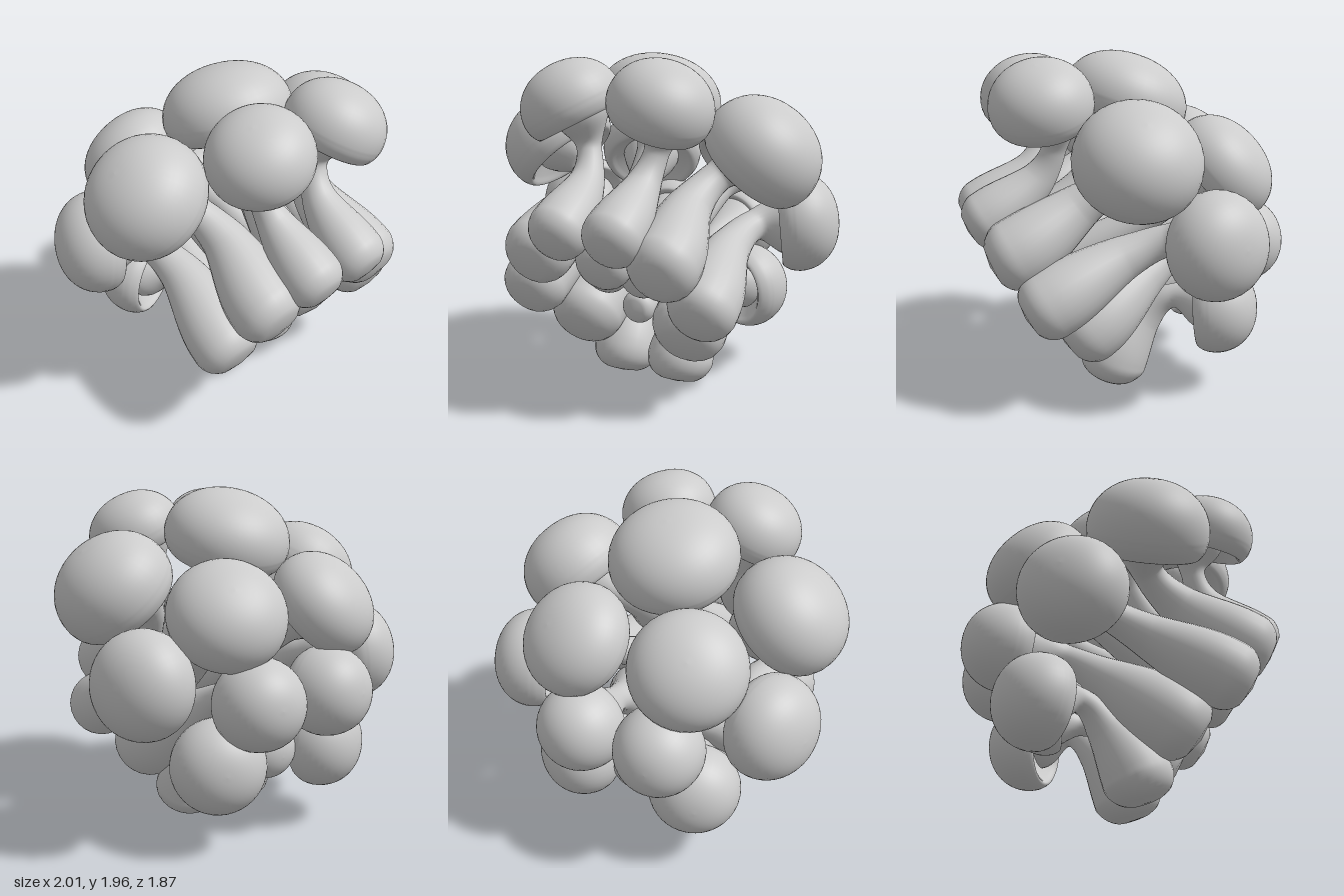
import * as THREE from 'three';
import { mergeVertices } from 'three/addons/utils/BufferGeometryUtils.js';

const material = new THREE.MeshStandardMaterial({ color: 0xcccccc, side: THREE.DoubleSide });
const UP = new THREE.Vector3(0, 1, 0);

// Each mushroom: cap rim centre, cap axis, rim radius, dome height,
// stem path from bulb to cap, bulb radius, neck radius
const paired = [
  { name: 'frontTop', at: [0.275, 1.67, 0.495], axis: [0.45, 1, 0.2], R: 0.29, h: 0.25,
    path: [[0.17, 0.97, 0.91], [0.17, 1.05, 0.77], [0.18, 1.27, 0.5], [0.22, 1.45, 0.42], [0.26, 1.64, 0.44]], bulb: 0.17, neck: 0.07 },
  { name: 'sideTop', at: [0.67, 1.405, 0.06], axis: [0.66, 0.75, 0], R: 0.345, h: 0.3,
    path: [[0.39, 0.82, 0.81], [0.39, 0.9, 0.64], [0.36, 1.13, 0.3], [0.45, 1.29, 0.1], [0.66, 1.42, 0.05]], bulb: 0.2, neck: 0.09 },
  { name: 'backTop', at: [0.335, 1.305, -0.515], axis: [0.28, 0.65, -0.65], R: 0.325, h: 0.25,
    path: [[0.1, 0.68, 0.5], [0.12, 0.75, 0.36], [0.2, 0.95, 0], [0.28, 1.16, -0.32], [0.33, 1.3, -0.5]], bulb: 0.13, neck: 0.08 },
  { name: 'sideLow', at: [0.745, 0.965, -0.35], axis: [0.9, 0.1, -0.35], R: 0.298, h: 0.25,
    path: [[0.54, 0.56, 0.64], [0.54, 0.65, 0.48], [0.5, 0.86, 0.08], [0.56, 0.96, -0.17], [0.75, 0.96, -0.34]], bulb: 0.195, neck: 0.09 },
  { name: 'backMiddle', at: [0.24, 0.85, -0.66], axis: [0.15, 0.1, -0.98], R: 0.255, h: 0.265,
    path: [[0.34, 0.33, 0.4], [0.34, 0.44, 0.24], [0.26, 0.68, -0.1], [0.22, 0.82, -0.35], [0.24, 0.85, -0.62]], bulb: 0.22, neck: 0.08 },
  { name: 'backLow', at: [0.37, 0.485, -0.485], axis: [0.4, 0.08, -0.9], R: 0.268, h: 0.25,
    path: [[0.19, 0.01, 0.12], [0.19, 0.18, 0.06], [0.21, 0.41, -0.1], [0.28, 0.54, -0.25], [0.36, 0.51, -0.45]], bulb: 0.2, neck: 0.07 },
];
const single = [
  { name: 'crown', at: [-0.02, 1.66, -0.035], axis: [0, 0.93, -0.33], R: 0.37, h: 0.28,
    path: [[0, 0.79, 0.73], [0, 0.88, 0.56], [0, 1.2, 0.2], [0, 1.66, -0.02]], bulb: 0.165, neck: 0.085 },
  { name: 'small', at: [0, 0.5, -0.42], axis: [0, -0.1, -1], R: 0.18, h: 0.18,
    path: [[0, 0.48, 0.32], [0, 0.5, 0.1], [0, 0.5, -0.4]], bulb: 0.1, neck: 0.06 },
];

// Full dome with a curled lip and a hollow underside
function capGeometry(R, h) {
  const under = new THREE.CatmullRomCurve3([
    [0, 0], [0.4 * R, -0.06 * h], [0.7 * R, -0.28 * h], [0.84 * R, -0.4 * h], [0.96 * R, -0.22 * h], [R, 0],
  ].map(([x, y]) => new THREE.Vector3(x, y, 0))).getPoints(20);
  const profile = under.map(p => new THREE.Vector2(Math.max(p.x, 0), p.y));
  for (let i = 1; i <= 14; i++) {
    const a = (i / 14) * Math.PI / 2;
    profile.push(new THREE.Vector2(R * Math.max(Math.cos(a), 0) ** 0.94, h * Math.sin(a) ** 0.94));
  }
  return new THREE.LatheGeometry(profile, 40);
}

// Tube with a blunt bulb at its start, a thin neck and a flare under the cap
function stemGeometry(points, bulb, neck) {
  const curve = new THREE.CatmullRomCurve3(points);
  const steps = 64, sides = 24;
  const geo = new THREE.TubeGeometry(curve, steps, 1, sides);
  const pos = geo.attributes.position;
  const v = new THREE.Vector3();
  const end = bulb * 0.75 / curve.getLength();
  for (let i = 0; i <= steps; i++) {
    const t = i / steps;
    const centre = curve.getPointAt(t);
    const u = Math.min(t / end, 1);
    const round = Math.pow(1 - (1 - u) ** 2, 0.38);
    const flare = 1 + 1.3 * THREE.MathUtils.smoothstep(t, 0.75, 1);
    const r = THREE.MathUtils.lerp(bulb, neck, THREE.MathUtils.smoothstep(t, 0.15, 0.78)) * round * flare;
    for (let j = 0; j <= sides; j++) {
      const k = i * (sides + 1) + j;
      v.fromBufferAttribute(pos, k).sub(centre).multiplyScalar(r).add(centre);
      pos.setXYZ(k, v.x, v.y, v.z);
    }
  }
  geo.deleteAttribute('uv');
  geo.deleteAttribute('normal');
  const smooth = mergeVertices(geo, 1e-5);
  smooth.computeVertexNormals();
  return smooth;
}

function mushroom(m, side, label) {
  const place = ([x, y, z]) => new THREE.Vector3(x * side, y, z);
  const group = new THREE.Group();
  group.name = label;

  const cap = new THREE.Mesh(capGeometry(m.R, m.h), material);
  cap.name = 'cap';
  cap.position.copy(place(m.at));
  cap.quaternion.setFromUnitVectors(UP, place(m.axis).normalize());

  const stem = new THREE.Mesh(stemGeometry(m.path.map(place), m.bulb, m.neck), material);
  stem.name = 'stem';

  group.add(cap, stem);
  return group;
}

export function createModel() {
  const model = new THREE.Group();
  model.name = 'mushroomCluster';
  for (const m of paired) {
    model.add(mushroom(m, 1, m.name + 'MushroomLeft'), mushroom(m, -1, m.name + 'MushroomRight'));
  }
  for (const m of single) model.add(mushroom(m, 1, m.name + 'Mushroom'));
  return model;
}
